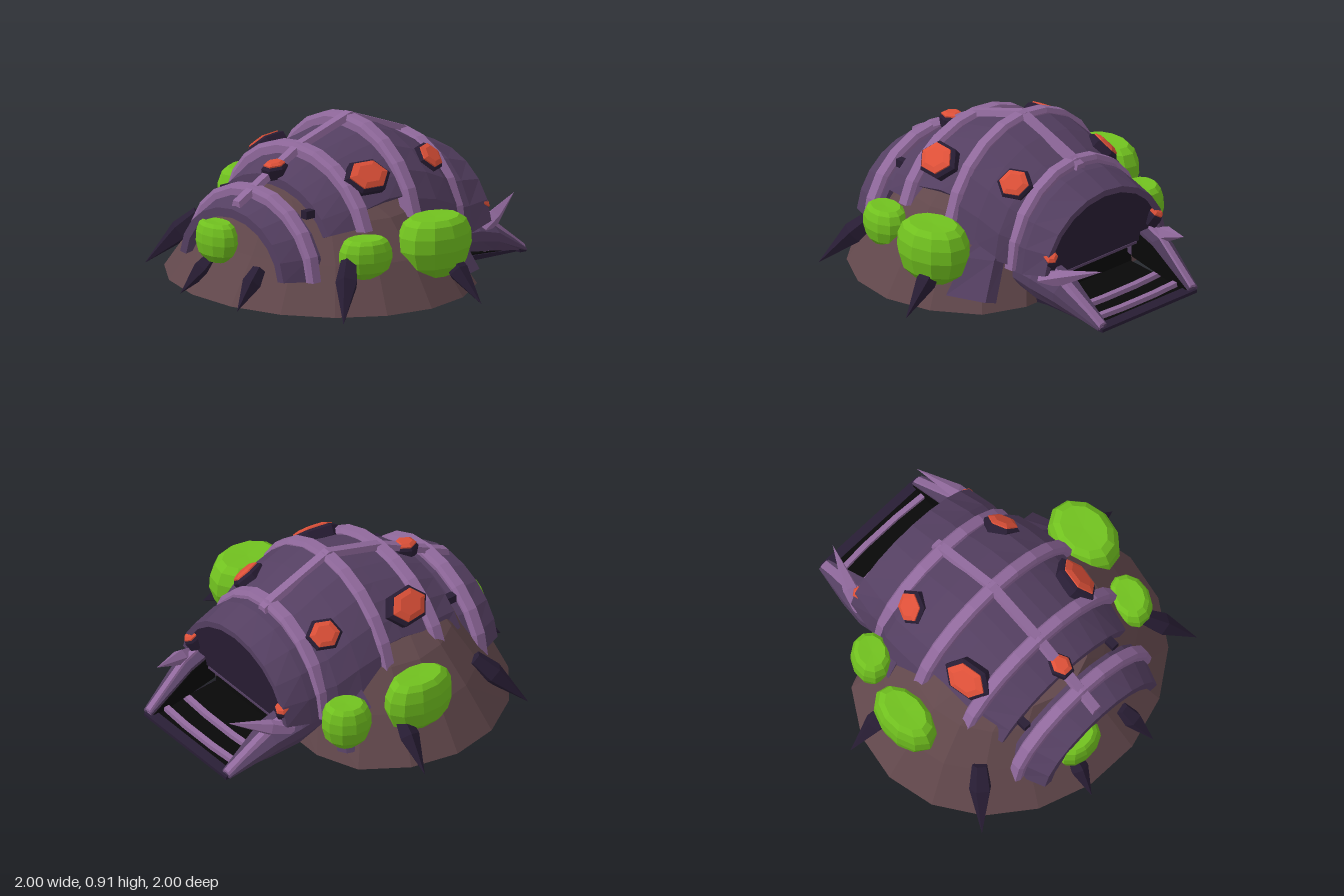
import * as THREE from 'three';

const mat = (name, color) => {
  const m = new THREE.MeshStandardMaterial({ color });
  m.name = name;
  return m;
};

// Flat-faced solid through a list of closed rings; winding is fixed by the sign of its volume
function loft(rings) {
  const tris = [], n = rings[0].length;
  const V = rings.map(r => r.map(p => new THREE.Vector3(...p)));
  for (let i = 0; i + 1 < V.length; i++) for (let j = 0; j < n; j++) {
    const k = (j + 1) % n;
    tris.push([V[i][j], V[i][k], V[i + 1][k]], [V[i][j], V[i + 1][k], V[i + 1][j]]);
  }
  const cap = (r, flip) => {
    const c = r.reduce((s, p) => s.add(p), new THREE.Vector3()).divideScalar(n);
    r.forEach((p, j) => tris.push(flip ? [c, r[(j + 1) % n], p] : [c, p, r[(j + 1) % n]]));
  };
  cap(V[0], true);
  cap(V[V.length - 1], false);
  let vol = 0;
  for (const [a, b, c] of tris) vol += a.dot(b.clone().cross(c));
  const pos = [];
  for (const [a, b, c] of tris) for (const p of vol < 0 ? [a, c, b] : [a, b, c]) pos.push(p.x, p.y, p.z);
  const g = new THREE.BufferGeometry();
  g.setAttribute('position', new THREE.Float32BufferAttribute(pos, 3));
  g.computeVertexNormals();
  return g;
}

// Arched band over the x axis; stations are [x, top, halfWidth, centreY, bottom]
function arch(stations, thick) {
  const N = 10, rings = [];
  for (let i = 0; i <= N; i++) {
    const point = ([x, top, half, cy, bottom], inset) => {
      const a0 = Math.asin((bottom - cy) / (top - cy));
      const a = a0 + (Math.PI - 2 * a0) * i / N;
      return [x, cy + (top - cy - inset) * Math.sin(a), (half - inset) * Math.cos(a)];
    };
    rings.push([...stations.map(s => point(s, 0)), ...[...stations].reverse().map(s => point(s, thick))]);
  }
  return loft(rings);
}

const flat = geo => {
  const g = geo.toNonIndexed();
  g.computeVertexNormals();
  return g;
};
const profile = pts => pts.map(p => new THREE.Vector2(...p));

export function createModel() {
  const model = new THREE.Group();
  const soil = mat('brown mound', 0x61474b), shell = mat('purple shell', 0x543f61);
  const rib = mat('light purple ridge', 0x90699c), dark = mat('dark horn', 0x281d34);
  const green = mat('green sac', 0x71c11f), red = mat('red eye', 0xdd5038), black = mat('black floor', 0x080808);
  const add = (name, geo, m, parent = model) => {
    const mesh = new THREE.Mesh(geo, m);
    mesh.name = name;
    parent.add(mesh);
    return mesh;
  };

  // Earth mound, cut straight on the ramp side: [y, centreX, rx, rz, cutX]
  add('mound', loft([[0.004, -0.15, 0.81, 0.92, 0.47], [0.25, -0.15, 0.63, 0.76, 0.41],
    [0.45, -0.15, 0.5, 0.58, 0.34], [0.55, -0.19, 0.41, 0.41, 0.2]].map(([y, cx, rx, rz, cut]) =>
    Array.from({ length: 18 }, (_, i) => {
      const a = (i + 0.5) / 18 * Math.PI * 2;
      return [Math.min(cut, cx + rx * Math.cos(a)), y, -0.035 + rz * Math.sin(a)];
    }))), soil);

  // Overlapping shell bands
  add('rearShellBand', arch([[-0.83, 0.51, 0.43, 0.14, 0.18], [-0.67, 0.57, 0.49, 0.15, 0.17], [-0.59, 0.575, 0.49, 0.15, 0.17]], 0.05), shell);
  add('middleRearShellBand', arch([[-0.54, 0.645, 0.51, 0.25, 0.4], [-0.33, 0.755, 0.55, 0.28, 0.42]], 0.05), shell);
  add('middleShellBand', arch([[-0.33, 0.765, 0.55, 0.28, 0.5], [-0.12, 0.81, 0.56, 0.3, 0.54], [0.02, 0.84, 0.56, 0.3, 0.54]], 0.05), shell);
  add('middleFrontShellBand', arch([[0.02, 0.885, 0.575, 0.31, 0.36], [0.2, 0.82, 0.565, 0.29, 0.33], [0.34, 0.75, 0.54, 0.26, 0.28], [0.4, 0.72, 0.5, 0.24, 0.26]], 0.05), shell);
  add('mouthShellBand', arch([[0.36, 0.715, 0.485, 0.22, 0.22], [0.5, 0.695, 0.49, 0.22, 0.23], [0.655, 0.625, 0.47, 0.22, 0.26]], 0.035), shell);

  // Raised ribs between the bands
  for (const [x, top, half, cy, bottom] of [[-0.665, 0.62, 0.52, 0.16, 0.17], [-0.335, 0.8, 0.59, 0.3, 0.41],
    [0.02, 0.9, 0.59, 0.32, 0.43], [0.41, 0.75, 0.505, 0.23, 0.235]])
    add('shellRib', arch([[x - 0.042, top - 0.025, half - 0.025, cy, bottom], [x - 0.028, top, half, cy, bottom],
      [x + 0.028, top, half, cy, bottom], [x + 0.042, top - 0.025, half - 0.025, cy, bottom]], 0.06), rib);

  // Spine running over the top
  add('spine', loft([[-0.8, 0.55], [-0.67, 0.62], [-0.335, 0.8], [0.02, 0.908], [0.41, 0.758], [0.47, 0.725]].map(([x, y]) =>
    [[x, y - 0.035, -0.034], [x, y, -0.024], [x, y, 0.024], [x, y - 0.035, 0.034]])), rib);

  // Dark wall closing the mouth, its foot set back
  add('mouthWall', loft([0.59, 0.62].map(x => Array.from({ length: 13 }, (_, i) => {
    const a = i / 12 * Math.PI, up = Math.sin(a);
    return [x + 0.032 * up, 0.215 + 0.378 * up, 0.442 * Math.cos(a)];
  }))), dark);
  add('mouthSill', flat(new THREE.BoxGeometry(0.03, 0.014, 0.56)), shell).position.set(0.61, 0.212, 0);

  // Low flat ramp with back step, floor, rungs and end bar
  add('rampUnderside', loft([-0.34, 0.34].map(z => [[0.25, 0.04, z], [0.55, 0.045, z], [0.98, 0.012, z],
    [0.98, 0, z], [0.55, 0.012, z], [0.4, 0, z], [0.25, 0, z]])), dark);
  add('rampFloor', loft([-0.33, 0.33].map(z => [[0.45, 0.053, z], [0.55, 0.052, z], [0.96, 0.021, z],
    [0.96, 0.013, z], [0.55, 0.044, z], [0.45, 0.044, z]])), black);
  add('rampBackStep', loft([-0.34, 0.34].map(z => [[0.42, 0.03, z], [0.42, 0.21, z], [0.5, 0.21, z], [0.53, 0.03, z]])), black);
  for (const [x, y] of [[0.75, 0.035], [0.89, 0.024]])
    add('rampRung', loft([-0.32, -0.12, 0.12, 0.32].map(z => {
      const c = x + (Math.abs(z) < 0.2 ? 0.012 : 0);
      return [[c - 0.017, y, z], [c - 0.015, y + 0.03, z], [c + 0.015, y + 0.026, z], [c + 0.017, y, z]];
    })), rib);
  add('rampEndBar', loft([-0.37, 0.37].map(z => [[0.95, 0.002, z], [0.945, 0.03, z], [1, 0.018, z], [1, 0, z]])), dark);

  // Tapered horn from base to tip
  const spikeProfile = [[0, 0], [0.7, 0], [1, 0.35], [0, 1]];
  const spike = (name, from, to, r, m) => {
    const a = new THREE.Vector3(...from), d = new THREE.Vector3(...to).sub(a), len = d.length();
    const pts = profile(spikeProfile.map(([x, y]) => [x * r, y * len]));
    const mesh = add(name, flat(new THREE.LatheGeometry(pts, 5)), m);
    mesh.position.copy(a);
    mesh.quaternion.setFromUnitVectors(new THREE.Vector3(0, 1, 0), d.normalize());
  };

  for (const s of [1, -1]) {
    // Ramp side rails: [x, inner z, outer z, low y, high y]
    const rail = [[0.4, 0.34, 0.46, 0.12, 0.27], [0.56, 0.31, 0.49, 0.1, 0.29], [0.72, 0.305, 0.465, 0.07, 0.235], [0.985, 0.32, 0.39, 0.004, 0.035]];
    add('rampRail', loft(rail.map(([x, a, b, lo, hi]) => {
      const c = (hi - lo) * 0.35;
      return [[x, lo, s * a], [x, hi, s * a], [x, hi, s * (a + b) / 2], [x, hi - c, s * b], [x, lo + c, s * b], [x, lo, s * (b - 0.04)]];
    })), shell);
    add('rampRailRidge', loft(rail.slice(1).map(([x, a, b, , hi]) => {
      const z = (a + b) / 2;
      return [[x, hi - 0.01, s * (z - 0.03)], [x, hi + 0.014, s * (z - 0.02)], [x, hi + 0.01, s * (z + 0.015)], [x, hi - 0.02, s * (z + 0.03)]];
    })), rib);
    add('rampRailLining', loft(rail.slice(1).map(([x, a, , lo, hi]) =>
      [[x, lo, s * (a - 0.006)], [x, hi - 0.02, s * (a - 0.006)], [x, hi - 0.02, s * a], [x, lo, s * a]])), black);
    spike('mouthHorn', [0.6, 0.21, s * 0.45], [0.95, 0.335, s * 0.32], 0.045, rib);

    // Leaning buttress plates tucked under the shell
    add('buttressPlate', loft([[0.06, 0.28, 0.745, 0.125], [0.26, 0.27, 0.63, 0.085], [0.42, 0.27, 0.49, 0.06]].map(([y, x, z, w]) =>
      [[x - w, y, s * (z - 0.08)], [x - w * 0.9, y + 0.02, s * z], [x + w * 0.9, y + 0.02, s * (z - 0.08)], [x + w, y, s * (z - 0.15)]])), shell);
    add('shellPeg', flat(new THREE.BoxGeometry(0.07, 0.045, 0.045)), dark).position.set(-0.565, 0.505, s * 0.335);

    // Ground spikes
    spike('groundSpike', [0.08, 0.24, s * 0.74], [0.11, 0.005, s * 1], 0.06, dark);
    spike('groundSpike', [-0.52, 0.29, s * 0.62], [-0.74, 0.01, s * 0.82], 0.065, dark);
    spike('groundSpike', [-0.8, 0.2, s * 0.19], [-1, 0.01, s * 0.235], 0.055, dark);
  }

  // Plump green sacs with flattened crowns: [x, y, z, rx, ry, rz, turn]
  const sacProfile = profile([[0, -1], [0.5, -0.93], [0.86, -0.55], [1, 0], [0.98, 0.45], [0.85, 0.83], [0.66, 1], [0, 0.97]]);
  for (const [x, y, z, rx, ry, rz, turn] of [[0.03, 0.29, 0.705, 0.23, 0.17, 0.17, 0], [-0.41, 0.285, 0.63, 0.155, 0.115, 0.115, -0.3],
    [-0.05, 0.29, -0.735, 0.215, 0.17, 0.13, 0], [0.35, 0.23, -0.605, 0.14, 0.14, 0.115, -0.5], [-0.81, 0.29, -0.15, 0.09, 0.115, 0.145, 0]]) {
    const sac = add('greenSac', flat(new THREE.LatheGeometry(sacProfile, 11)), green);
    sac.scale.set(rx, ry, rz);
    sac.position.set(x, y, z);
    sac.rotation.y = turn;
  }

  // Six-sided eyes in dark sockets: position, outward direction, half length and half height
  const eye = (pos, dir, w, h) => {
    const eyeGroup = new THREE.Group();
    eyeGroup.name = 'shellEye';
    const hex = (depth, k) => Array.from({ length: 6 }, (_, i) => {
      const a = i / 6 * Math.PI * 2;
      return [w * k * Math.cos(a), h * k * Math.sin(a) * 1.12, depth];
    });
    add('eyeSocket', loft([hex(-0.04, 1.25), hex(0.015, 1.32), hex(0.03, 1.12)]), dark, eyeGroup);
    add('eyeCrystal', loft([hex(0.02, 1.08), hex(0.038, 1.08), hex(0.05, 0.7)]), red, eyeGroup);
    eyeGroup.position.set(...pos);
    eyeGroup.lookAt(new THREE.Vector3(...pos).add(new THREE.Vector3(...dir)));
    model.add(eyeGroup);
  };
  for (const s of [1, -1]) {
    eye([-0.21, 0.66, s * 0.41], [-0.12, 0.7, s * 0.75], 0.113, 0.075);
    eye([0.3, 0.655, s * 0.335], [0.3, 0.7, s * 0.7], 0.08, 0.065);
    eye([0.63, 0.33, s * 0.4], [0.4, 0.75, s * 0.3], 0.037, 0.037);
  }
  eye([-0.515, 0.675, 0], [-0.1, 1, 0.001], 0.05, 0.055);

  return model;
}
